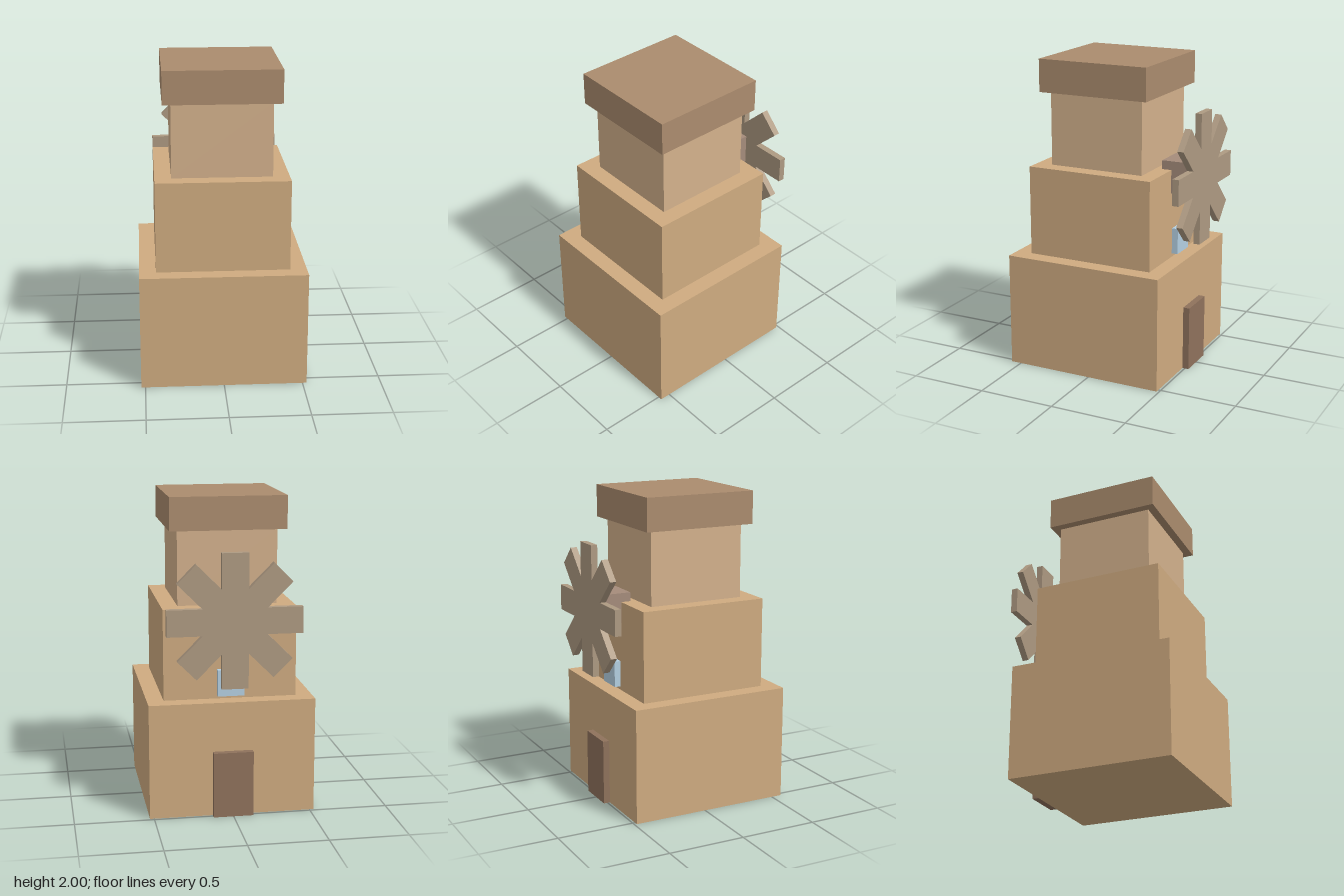
import * as THREE from 'three';

export function createModel() {
  const group = new THREE.Group();
  const mat = (color) => new THREE.MeshStandardMaterial({ color, flatShading: true });
  const sand = mat(0xcfab80), paleSand = mat(0xd3b18c), roofBrown = mat(0xab8c6e);
  const axleBrown = mat(0xa58c7b), sailBrown = mat(0xae9a82);
  const doorBrown = mat(0x8f725c), glass = mat(0xb4d0e2);

  // Box given by its width, its height range and its depth range
  function box(name, material, width, y0, y1, z0, z1) {
    const mesh = new THREE.Mesh(new THREE.BoxGeometry(width, y1 - y0, z1 - z0), material);
    mesh.position.set(0, (y0 + y1) / 2, (z0 + z1) / 2);
    mesh.name = name;
    group.add(mesh);
  }

  // Stepped tower
  box('lowerTier', sand, 1.053, 0, 0.737, -0.484, 0.568);
  box('middleTier', sand, 0.842, 0.737, 1.316, -0.379, 0.463);
  box('upperTier', paleSand, 0.632, 1.316, 1.79, -0.274, 0.358);
  box('roof', roofBrown, 0.737, 1.79, 2, -0.326, 0.411);

  // Door, window and axle on the back
  box('door', doorBrown, 0.253, 0, 0.421, -0.526, -0.484);
  box('window', glass, 0.168, 0.76, 0.928, -0.42, -0.379);
  box('axle', axleBrown, 0.21, 1.163, 1.373, -0.53, -0.316);

  // Wheel of eight equal sails, drawn as one outline
  const reach = 0.421, half = 0.083, arms = 8;
  const notch = half / Math.sin(Math.PI / arms);
  const points = [];
  for (let i = 0; i < arms; i++) {
    const a = (i / arms) * Math.PI * 2, c = Math.cos(a), s = Math.sin(a);
    for (const side of [-half, half]) {
      points.push(new THREE.Vector2(reach * c - side * s, reach * s + side * c));
    }
    const b = a + Math.PI / arms;
    points.push(new THREE.Vector2(notch * Math.cos(b), notch * Math.sin(b)));
  }
  const sails = new THREE.Mesh(
    new THREE.ExtrudeGeometry(new THREE.Shape(points), { depth: 0.042, bevelEnabled: false }),
    sailBrown
  );
  sails.name = 'sails';
  sails.position.set(0, 1.267, -0.57);
  group.add(sails);

  return group;
}
